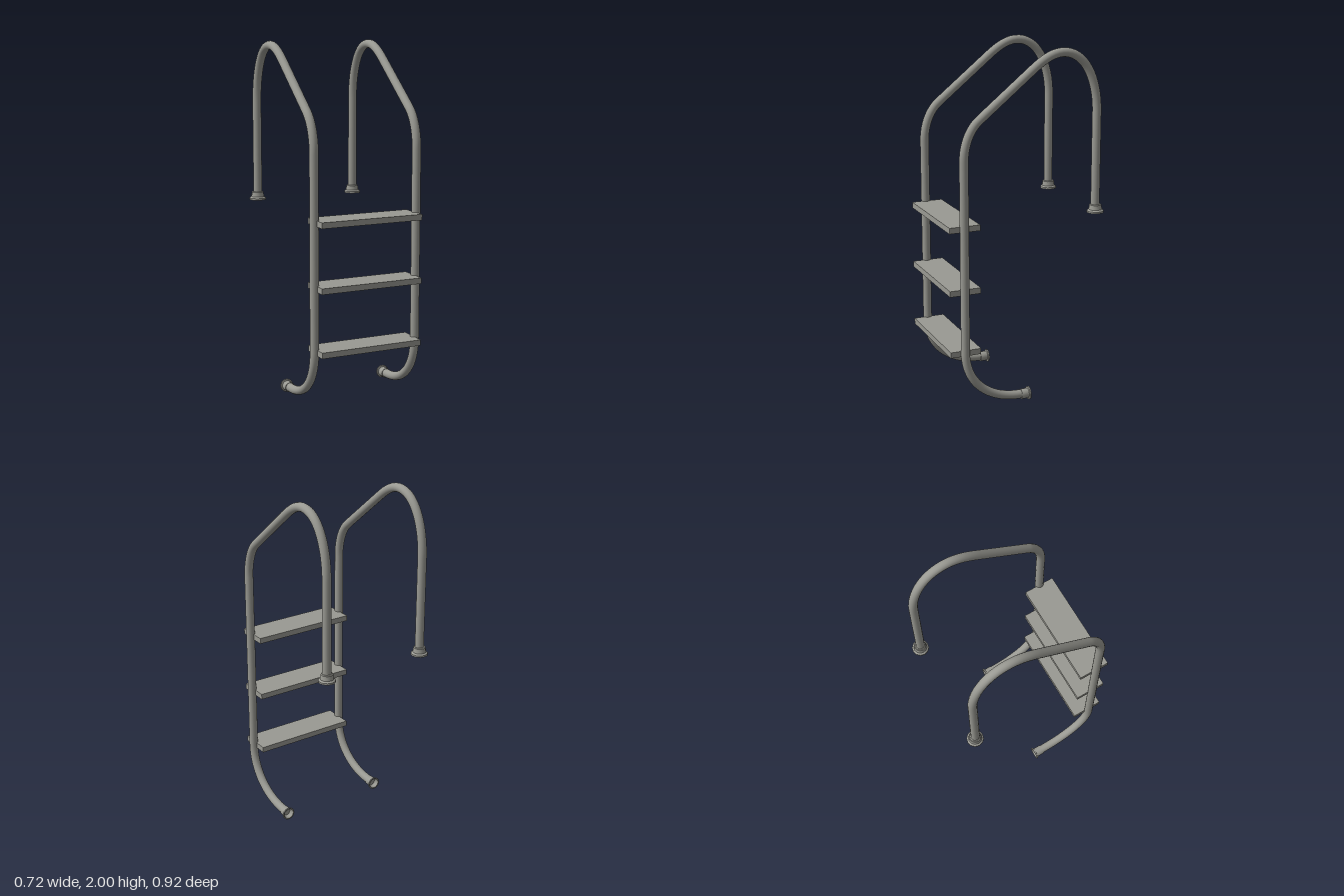
import * as THREE from 'three';
import { toCreasedNormals } from 'three/addons/utils/BufferGeometryUtils.js';

const RAIL_X = 0.312;
const TUBE_R = 0.025;

// Side-plane point: z forward, y up
const p = (z, y) => new THREE.Vector3(0, y, z);

// Bent handrail centreline, from the wall foot up and over to the deck
function railPath() {
  const path = new THREE.CurvePath();
  const line = (a, b) => path.add(new THREE.LineCurve3(a, b));
  const bend = (a, b, c, d) => path.add(new THREE.CubicBezierCurve3(a, b, c, d));
  line(p(0.025, 0.041), p(0.06, 0.042));
  bend(p(0.06, 0.042), p(0.24, 0.047), p(0.376, 0.16), p(0.376, 0.34));
  line(p(0.376, 0.34), p(0.376, 1.42));
  bend(p(0.376, 1.42), p(0.376, 1.51), p(0.342, 1.594), p(0.288, 1.638));
  line(p(0.288, 1.638), p(-0.02, 1.888));
  bend(p(-0.02, 1.888), p(-0.085, 1.941), p(-0.14, 1.975), p(-0.2, 1.975));
  bend(p(-0.2, 1.975), p(-0.345, 1.975), p(-0.41, 1.8), p(-0.41, 1.64));
  line(p(-0.41, 1.64), p(-0.41, 1.075));
  return path;
}

// Turned fitting with crisp edges from [radius, height] pairs
function turned(profile) {
  const points = profile.map(([r, y]) => new THREE.Vector2(r, y));
  return toCreasedNormals(new THREE.LatheGeometry(points, 12), 0.6);
}

export function createModel() {
  const model = new THREE.Group();
  model.name = 'poolLadder';
  const steel = new THREE.MeshStandardMaterial({ color: 0x9a9a93 });
  steel.name = 'steel grey';

  const add = (name, geometry, x, y, z) => {
    const mesh = new THREE.Mesh(geometry, steel);
    mesh.name = name;
    mesh.position.set(x, y, z);
    model.add(mesh);
  };

  const rail = new THREE.TubeGeometry(railPath(), 140, TUBE_R, 16);

  // Stepped collar where the rail meets the deck
  const collar = turned([
    [0, 0], [0.048, 0], [0.048, 0.01], [0.038, 0.018],
    [0.034, 0.044], [0.03, 0.048], [0.02, 0.048],
  ]);

  // Hollow rubber-style foot cup, opening towards the wall
  const foot = turned([
    [0, 0.02], [0.024, 0.018], [0.031, -0.01], [0.038, -0.01],
    [0.038, -0.002], [0.029, 0], [0.029, 0.042], [0.02, 0.042],
  ]);
  foot.rotateX(Math.PI / 2);

  for (const [side, s] of [['left', 1], ['right', -1]]) {
    add(side + 'Rail', rail, s * RAIL_X, 0, 0);
    add(side + 'DeckCollar', collar, s * RAIL_X, 1.066, -0.412);
    add(side + 'WallFoot', foot, s * RAIL_X, 0.04, 0);
  }

  // Three flat treads between the rails
  const tread = new THREE.BoxGeometry(0.61, 0.033, 0.18);
  [0.335, 0.69, 1.048].forEach((y, i) => add('tread' + (i + 1), tread, 0, y, 0.37));

  return model;
}
